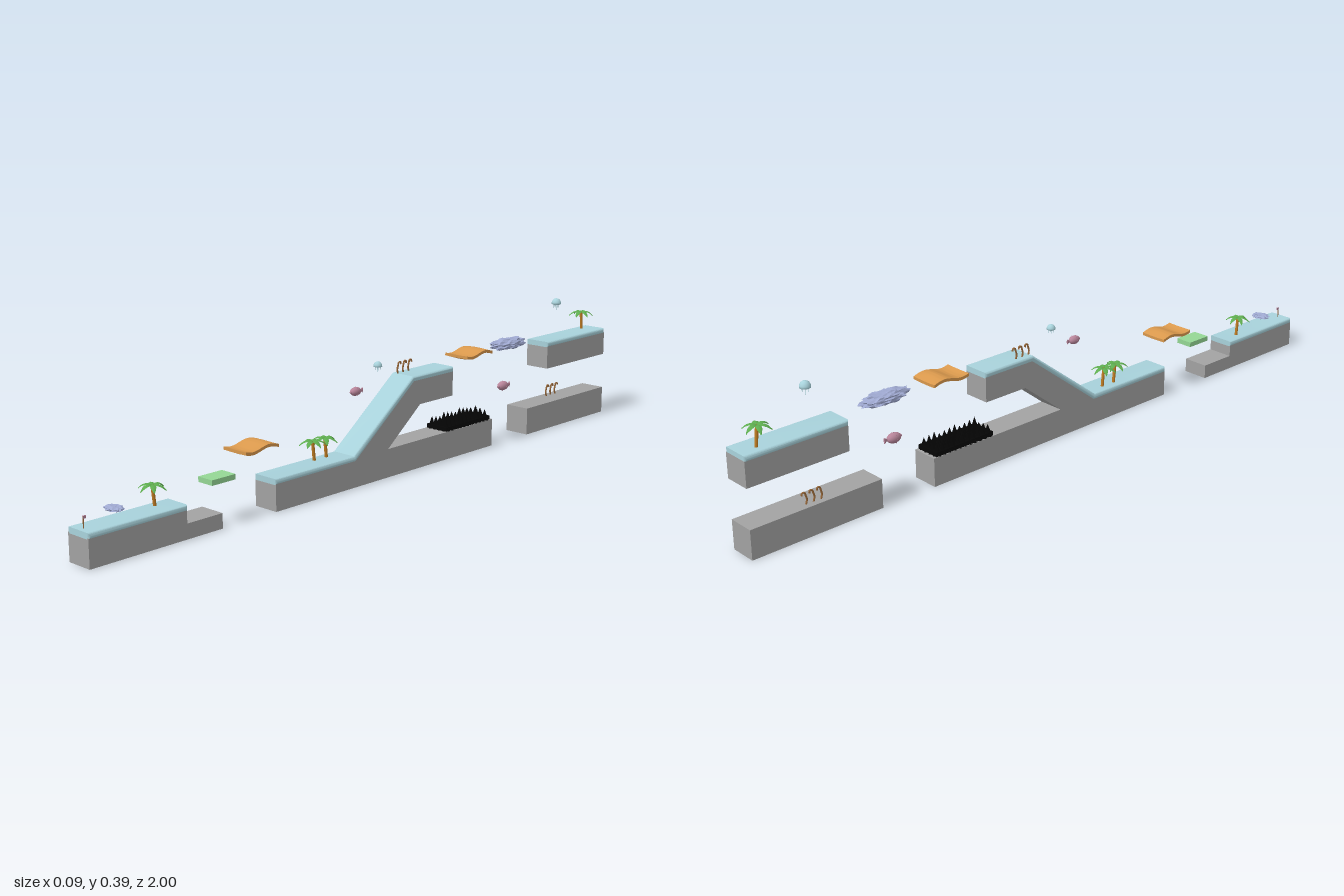
import * as THREE from 'three';
import { toCreasedNormals } from 'three/addons/utils/BufferGeometryUtils.js';

const flat = (name, color, side = THREE.FrontSide) => {
  const m = new THREE.MeshStandardMaterial({ color, side });
  m.name = name;
  return m;
};

export function createModel() {
  const root = new THREE.Group();
  const stone = flat('stone grey', 0xa2a2a2);
  const ice = flat('pale blue', 0xa9d3dc);
  const leaf = flat('leaf green', 0x5fae50, THREE.DoubleSide);
  const mint = flat('light green', 0x94d694);
  const black = flat('black', 0x050505);
  const orange = flat('orange', 0xd9984c);
  const bark = flat('bark', 0xc07c22);
  const tan = flat('brown', 0x98683a);
  const lilac = flat('lilac blue', 0xa0aad2);
  const pink = flat('dusky pink', 0xb8859a);

  const add = (name, geo, mat, x = 0, y = 0, z = 0, parent = root) => {
    const mesh = new THREE.Mesh(geo, mat);
    mesh.name = name;
    mesh.position.set(x, y, z);
    parent.add(mesh);
    return mesh;
  };
  const group = (name, x, y, z) => {
    const g = new THREE.Group();
    g.name = name;
    g.position.set(x, y, z);
    root.add(g);
    return g;
  };

  // Side profile of [z, y] points, extruded across x, with an optional rounded edge
  const slab = (name, points, width, mat, round = 0) => {
    const shape = new THREE.Shape(points.map(([z, y]) => new THREE.Vector2(z, y)));
    const depth = width - 2 * round;
    let geo = new THREE.ExtrudeGeometry(shape, {
      depth, bevelEnabled: round > 0, bevelSize: round, bevelThickness: round,
      bevelOffset: -round, bevelSegments: 4,
    });
    geo.translate(0, 0, -depth / 2).rotateY(-Math.PI / 2);
    if (round) geo = toCreasedNormals(geo, 0.6);
    return add(name, geo, mat);
  };
  const rect = (z0, z1, y0, y1) => [[z0, y0], [z1, y0], [z1, y1], [z0, y1]];

  // Stone blocks
  slab('startBlock', [[1, 0], [1, 0.074], [0.71, 0.074], [0.71, 0.04], [0.598, 0.04], [0.598, 0]], 0.076, stone);
  slab('rampBlock', [[0.418, 0], [0.418, 0.074], [0.128, 0.074], [-0.104, 0.252], [-0.268, 0.252],
    [-0.268, 0.182], [-0.13, 0.182], [0, 0.08], [-0.447, 0.08], [-0.447, 0]], 0.076, stone);
  slab('lowerEndBlock', rect(-0.614, -1, 0, 0.08), 0.076, stone);
  slab('upperEndBlock', rect(-0.707, -1, 0.187, 0.256), 0.076, stone);

  // Rounded blue tops
  slab('startTop', rect(1, 0.708, 0.071, 0.087), 0.079, ice, 0.006);
  slab('rampTop', [[0.42, 0.071], [0.127, 0.071], [-0.105, 0.249], [-0.27, 0.249],
    [-0.27, 0.265], [-0.1, 0.265], [0.133, 0.087], [0.42, 0.087]], 0.079, ice, 0.006);
  slab('endTop', rect(-0.705, -1, 0.253, 0.269), 0.079, ice, 0.006);

  // Floating green block
  add('floatingBlock', new THREE.BoxGeometry(0.051, 0.014, 0.077), mint, 0, 0.118, 0.58);

  // Wavy planks, flatter toward their side edges
  const plank = new THREE.BoxGeometry(0.082, 0.008, 0.113, 8, 1, 20);
  const pp = plank.attributes.position;
  for (let i = 0; i < pp.count; i++) {
    const t = 0.5 - pp.getZ(i) / 0.113;
    const edge = 1 - 0.4 * (pp.getX(i) / 0.041) ** 2;
    pp.setY(i, pp.getY(i) + 0.0085 * edge * Math.cos(2.1 + (t - 0.05) * 6.4));
  }
  plank.computeVertexNormals();
  const wavy = toCreasedNormals(plank, 0.8);
  add('frontPlank', wavy, orange, -0.003, 0.174, 0.461);
  add('backPlank', wavy, orange, -0.003, 0.281, -0.387);

  // Field of black spikes
  const spike = new THREE.ConeGeometry(0.014, 1, 4);
  const spikes = group('spikes', 0, 0.08, -0.341);
  add('spikeBed', new THREE.BoxGeometry(0.072, 0.012, 0.192), black, 0, 0.006, 0, spikes);
  for (let i = 0; i < 11; i++) {
    for (let j = 0; j < 4; j++) {
      const h = 0.028 + 0.003 * ((i * 5 + j * 3) % 4);
      add('spike', spike, black, (j - 1.5) * 0.0175, h / 2, (i - 5) * 0.0172, spikes).scale.y = h;
    }
  }

  // Palm frond: tapered strip that arches and droops
  const frond = new THREE.PlaneGeometry(1, 1, 2, 6);
  const fp = frond.attributes.position;
  for (let i = 0; i < fp.count; i++) {
    const t = fp.getY(i) + 0.5, s = fp.getX(i) * 2;
    const w = 0.0075 * Math.sin(Math.PI * (0.1 + 0.88 * t));
    fp.setXYZ(i, s * w, 0.019 * t - 0.029 * t * t - Math.abs(s) * 0.003, 0.036 * t);
  }
  frond.computeVertexNormals();
  const trunkCurve = new THREE.CatmullRomCurve3([[-0.001, 0, -0.004], [0, 0.03, 0], [0, 0.056, 0.003]]
    .map((p) => new THREE.Vector3(...p)));
  const trunk = new THREE.TubeGeometry(trunkCurve, 8, 0.0043, 8);
  [[0.086, 0.77, 0], [0.086, 0.235, 0.4], [0.086, 0.19, 1], [0.268, -0.946, 0.2]].forEach(([y, z, turn]) => {
    const palm = group('palmTree', -0.012, y, z);
    add('trunk', trunk, bark, 0, 0, 0, palm);
    for (let i = 0; i < 6; i++) {
      add('frond', frond, leaf, 0, 0.055, 0.003, palm).rotation.y = turn + i * Math.PI / 3;
    }
  });

  // Curled stalks in rows of three
  const stalkCurve = new THREE.CatmullRomCurve3([[0, 0, 0], [0, 0.012, 0.003], [0, 0.024, 0], [0, 0.032, -0.003],
    [0, 0.032, -0.01], [0, 0.026, -0.011]].map((p) => new THREE.Vector3(...p)));
  const stalk = new THREE.TubeGeometry(stalkCurve, 16, 0.0025, 7);
  [[0.263, -0.103], [0.08, -0.785]].forEach(([y, z]) => {
    for (let i = 0; i < 3; i++) add('curledStalk', stalk, tan, -0.02, y, z - i * 0.022);
  });

  // Small marker post
  add('markerPost', new THREE.CylinderGeometry(0.0015, 0.0015, 0.03, 6), tan, 0, 0.1, 0.984);
  add('markerTip', new THREE.BoxGeometry(0.003, 0.007, 0.008), pink, 0, 0.113, 0.981);

  // Flattened spiky puffs
  const puff = new THREE.IcosahedronGeometry(1, 5);
  const up = puff.attributes.position;
  for (let i = 0; i < up.count; i++) {
    const v = new THREE.Vector3().fromBufferAttribute(up, i);
    const key = Math.round(v.x * 500) * 12.9 + Math.round(v.y * 500) * 78.2 + Math.round(v.z * 500) * 37.7;
    const n = Math.abs(Math.sin(key) * 437.5) % 1;
    v.multiplyScalar(0.8 + 0.26 * n * n);
    up.setXYZ(i, v.x, v.y, v.z);
  }
  puff.computeVertexNormals();
  add('smallPuff', puff, lilac, -0.004, 0.113, 0.893).scale.set(0.031, 0.007, 0.023);
  add('largePuff', puff, lilac, -0.008, 0.279, -0.573).scale.set(0.032, 0.018, 0.079);

  // Jellyfish: dome with thin tentacles
  const dome = new THREE.LatheGeometry([[0, -0.4], [0.7, -0.5], [1, -0.35], [0.97, 0.05], [0.75, 0.5], [0.4, 0.75], [0, 0.85]]
    .map((p) => new THREE.Vector2(...p)), 18);
  const tentacle = new THREE.CylinderGeometry(0.07, 0.05, 1.1, 5);
  [[0.308, 0, 0.012], [0.374, -0.797, 0.0145]].forEach(([y, z, size]) => {
    const jelly = group('jellyfish', 0, y, z);
    jelly.scale.setScalar(size);
    add('dome', dome, ice, 0, 0, 0, jelly);
    add('tentacle', tentacle, ice, 0, -1.1, 0, jelly);
    for (let i = 0; i < 4; i++) {
      const a = i * Math.PI / 2 + 0.6;
      add('tentacle', tentacle, ice, 0.5 * Math.cos(a), -0.8, 0.5 * Math.sin(a), jelly).scale.y = 0.7;
    }
  });

  // Puffed fish with tail, fins and little spines
  const ball = new THREE.SphereGeometry(1, 18, 12);
  const fin = new THREE.ConeGeometry(0.55, 1, 8);
  const spine = new THREE.ConeGeometry(0.1, 0.35, 5);
  [[0.25, 0.087, 0.0125], [0.157, -0.543, 0.0145]].forEach(([y, z, size]) => {
    const fish = group('fish', 0, y, z);
    fish.scale.setScalar(size);
    add('body', ball, pink, 0, 0, 0, fish).scale.set(0.9, 0.95, 1.45);
    add('mouth', ball, pink, 0, 0, 1.4, fish).scale.setScalar(0.3);
    const tail = add('tail', fin, pink, 0, 0, -1.65, fish);
    tail.rotation.x = Math.PI / 2;
    tail.scale.set(0.3, 0.9, 1.1);
    for (let i = 0; i < 8; i++) {
      const a = i * Math.PI / 4;
      const s = add('spine', spine, pink, 0.95 * Math.cos(a), Math.sin(a), 0, fish);
      s.rotation.z = a - Math.PI / 2;
    }
  });

  return root;
}
